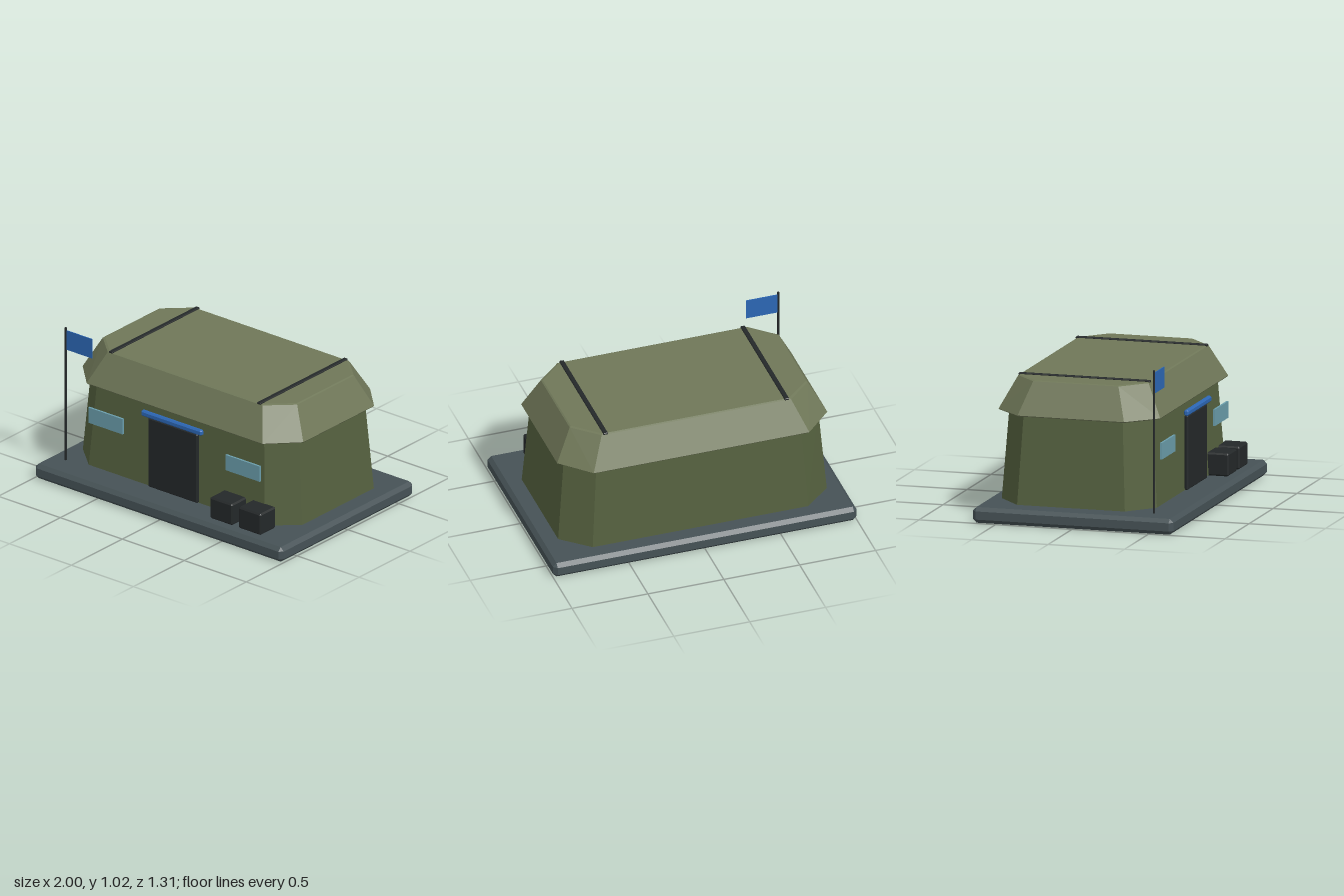
import * as THREE from 'three';
import { ConvexGeometry } from 'three/addons/geometries/ConvexGeometry.js';

const paint = (color) => new THREE.MeshStandardMaterial({ color });
const mats = {
  slab: paint(0x465256),
  wall: paint(0x55613f),
  roof: paint(0x6f7758),
  dark: paint(0x242829),
  blue: paint(0x2c67b5),
  glass: paint(0x6a9dab),
};

export function createModel() {
  const model = new THREE.Group();
  model.name = 'fieldShelter';

  function add(name, geometry, material, x = 0, y = 0, z = 0) {
    const mesh = new THREE.Mesh(geometry, material);
    mesh.name = name;
    mesh.position.set(x, y, z);
    model.add(mesh);
    return mesh;
  }

  // Box with every edge cut by a flat bevel
  function bevelBox(w, h, d, b) {
    const points = [];
    for (const sx of [-1, 1]) for (const sy of [-1, 1]) for (const sz of [-1, 1]) {
      const x = w / 2, y = h / 2, z = d / 2;
      points.push(
        new THREE.Vector3(sx * x, sy * (y - b), sz * (z - b)),
        new THREE.Vector3(sx * (x - b), sy * y, sz * (z - b)),
        new THREE.Vector3(sx * (x - b), sy * (y - b), sz * z),
      );
    }
    return new ConvexGeometry(points);
  }

  // Solid through eight-sided rings: [y, half width, half depth, corner cut x, corner cut z]
  function octagonSolid(rings) {
    const points = [];
    for (const [y, hx, hz, cx, cz] of rings) {
      for (const sx of [-1, 1]) for (const sz of [-1, 1]) {
        points.push(
          new THREE.Vector3(sx * hx, y, sz * (hz - cz)),
          new THREE.Vector3(sx * (hx - cx), y, sz * hz),
        );
      }
    }
    return new ConvexGeometry(points);
  }

  // Ground slab
  add('baseSlab', bevelBox(2, 0.1, 1.31, 0.024), mats.slab, 0, 0.05, 0);

  // Tapering walls and overhanging roof, set slightly to the back
  const bodyZ = -0.043;
  add('walls', octagonSolid([
    [0.11, 0.885, 0.507, 0.175, 0.155],
    [0.69, 0.838, 0.468, 0.165, 0.145],
  ]), mats.wall, 0, 0, bodyZ);
  add('roof', octagonSolid([
    [0.673, 0.885, 0.524, 0.18, 0.18],
    [0.679, 0.89, 0.528, 0.18, 0.18],
    [0.881, 0.784, 0.426, 0.16, 0.147],
    [0.886, 0.775, 0.416, 0.16, 0.147],
  ]), mats.roof, 0, 0, bodyZ);

  // Straps across the roof
  for (const side of [-1, 1]) {
    add('roofStrap', bevelBox(0.03, 0.014, 0.86, 0.004), mats.dark, side * 0.597, 0.887, bodyZ);
  }

  // Door with a rolled awning above it
  add('door', bevelBox(0.4, 0.475, 0.026, 0.008), mats.dark, 0, 0.363, 0.495);
  add('awningRoll', bevelBox(0.49, 0.04, 0.032, 0.01), mats.blue, 0, 0.624, 0.508);

  // Windows
  for (const side of [-1, 1]) {
    add('window', new THREE.BoxGeometry(0.275, 0.105, 0.014), mats.glass, side * 0.553, 0.467, 0.485);
  }

  // Crates beside the door
  for (const x of [0.46, 0.69]) {
    add('crate', bevelBox(0.182, 0.146, 0.152, 0.01), mats.dark, x, 0.179, 0.516);
  }

  // Flagpole and flag
  add('flagpole', new THREE.CylinderGeometry(0.008, 0.008, 0.908, 8), mats.dark, -0.87, 0.562, 0.495);
  add('flag', new THREE.BoxGeometry(0.21, 0.132, 0.006), mats.blue, -0.762, 0.934, 0.495);

  return model;
}
